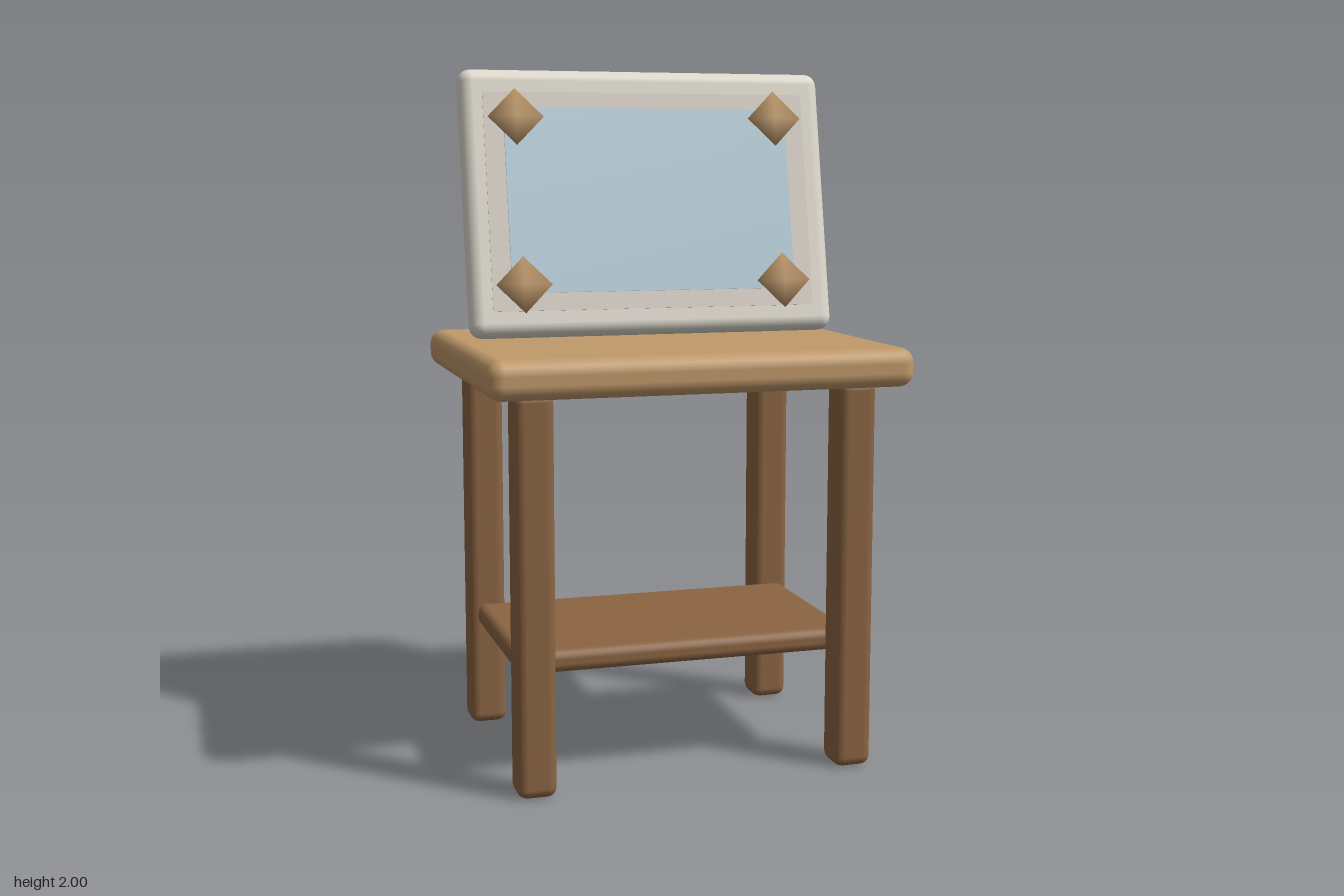
import * as THREE from 'three';
import { RoundedBoxGeometry } from 'three/addons/geometries/RoundedBoxGeometry.js';
import { mergeVertices } from 'three/addons/utils/BufferGeometryUtils.js';

function material(name, color) {
  const m = new THREE.MeshStandardMaterial({ color });
  m.name = name;
  return m;
}

function add(parent, name, geometry, mat, x, y, z) {
  const mesh = new THREE.Mesh(geometry, mat);
  mesh.name = name;
  mesh.position.set(x, y, z);
  parent.add(mesh);
  return mesh;
}

// Box whose shared corners give a soft, pillow-like shading
function softBox(w, h, d) {
  const g = new THREE.BoxGeometry(w, h, d);
  g.deleteAttribute('normal');
  g.deleteAttribute('uv');
  const merged = mergeVertices(g);
  merged.computeVertexNormals();
  return merged;
}

export function createModel() {
  const lightWood = material('light wood', 0xc19a6b);
  const darkWood = material('dark wood', 0x8b6543);
  const ivory = material('ivory', 0xdedace);
  const matBoard = material('mat board', 0xd8cfc6);
  const glass = material('pale blue glass', 0xb8d0dc);

  const model = new THREE.Group();
  model.name = 'tableWithPictureFrame';

  // Table: top, four legs and a low shelf between them
  const table = new THREE.Group();
  table.name = 'table';
  model.add(table);
  add(table, 'tableTop', new RoundedBoxGeometry(1.21, 0.11, 0.975, 3, 0.042), lightWood, 0, 1.166, 0);
  const legGeometry = new RoundedBoxGeometry(0.112, 1.125, 0.112, 2, 0.028);
  for (const sx of [-1, 1]) {
    for (const sz of [-1, 1]) {
      add(table, 'leg', legGeometry, darkWood, sx * 0.465, 0.5625, sz * 0.35);
    }
  }
  add(table, 'shelf', new RoundedBoxGeometry(1.0, 0.066, 0.6, 2, 0.026), darkWood, 0, 0.353, 0);

  // Picture frame, leaning back
  const frame = new THREE.Group();
  frame.name = 'pictureFrame';
  frame.position.set(0, 1.613, -0.127);
  frame.rotation.x = -0.2;
  model.add(frame);
  add(frame, 'frameBody', new RoundedBoxGeometry(1.11, 0.785, 0.085, 3, 0.038), ivory, 0, 0, 0);
  add(frame, 'mat', new THREE.BoxGeometry(0.98, 0.64, 0.006), matBoard, 0, 0, 0.042);
  add(frame, 'glassPane', softBox(0.864, 0.54, 0.009), glass, 0, 0.002, 0.048);

  // Faceted diamond studs on the corners of the pane
  const studGeometry = new THREE.SphereGeometry(1, 4, 2);
  for (const sx of [-1, 1]) {
    for (const sy of [-1, 1]) {
      const stud = add(frame, 'cornerStud', studGeometry, lightWood, sx * 0.397, sy * 0.245, 0.055);
      stud.scale.set(0.083, 0.083, 0.015);
    }
  }

  // Rear prop
  const prop = add(model, 'rearProp', new RoundedBoxGeometry(0.112, 0.6, 0.04, 2, 0.014), ivory, 0, 1.54, -0.33);
  prop.rotation.x = 0.405;

  return model;
}
